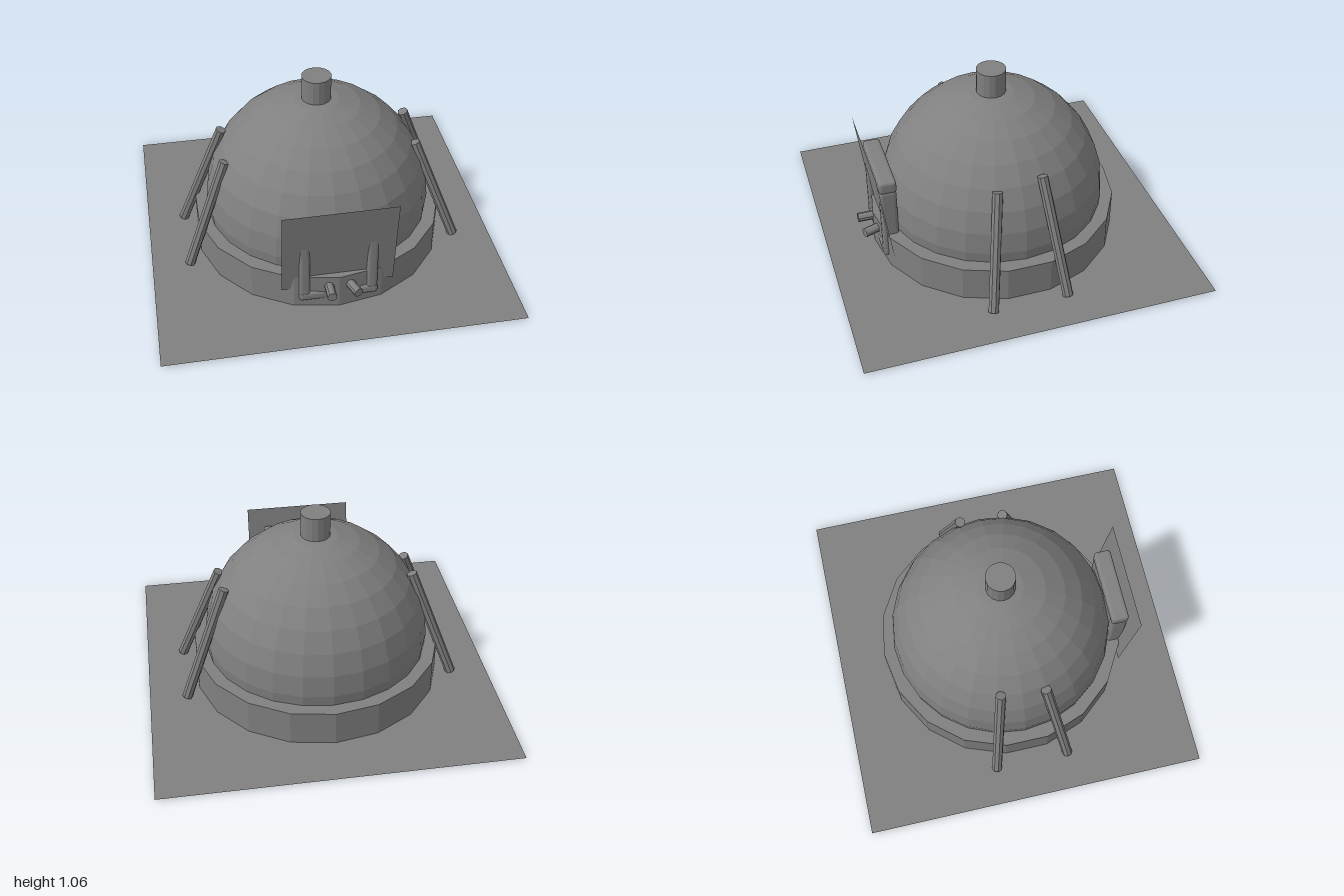
import * as THREE from 'three';
import { RoundedBoxGeometry } from 'three/addons/geometries/RoundedBoxGeometry.js';

const grey = new THREE.MeshStandardMaterial({ color: 0x808080, flatShading: true });
const sheetGrey = grey.clone();
grey.name = 'grey';
sheetGrey.name = 'sheet grey';
sheetGrey.side = THREE.DoubleSide;

export function createModel() {
  const model = new THREE.Group();
  model.name = 'domeHut';

  const add = (name, geometry, x, y, z, material = grey) => {
    const mesh = new THREE.Mesh(geometry, material);
    mesh.name = name;
    mesh.position.set(x, y, z);
    model.add(mesh);
    return mesh;
  };

  // Cylinder between two points
  const rod = (name, a, b, radius, sides) => {
    const from = new THREE.Vector3(...a), to = new THREE.Vector3(...b);
    const dir = to.clone().sub(from);
    const mesh = add(name, new THREE.CylinderGeometry(radius, radius, dir.length(), sides), 0, 0, 0);
    mesh.position.copy(from).add(to).multiplyScalar(0.5);
    mesh.quaternion.setFromUnitVectors(new THREE.Vector3(0, 1, 0), dir.normalize());
  };

  // Ground sheet
  add('ground', new THREE.PlaneGeometry(2, 2).rotateX(-Math.PI / 2), 0, 0.006, 0, sheetGrey);

  // Base drum, dome and chimney
  add('base', new THREE.CylinderGeometry(0.72, 0.72, 0.212, 18), 0, 0.106, 0);
  add('dome', new THREE.SphereGeometry(0.65, 24, 10, 0, Math.PI * 2, 0, Math.PI * 10 / 16), 0, 0.277, 0);
  add('chimney', new THREE.CylinderGeometry(0.084, 0.084, 0.18, 16), 0, 0.97, 0);

  // Leaning poles on both sides
  for (const side of [-1, 1]) {
    rod('frontPole', [side * 0.785, 0.011, 0.233], [side * 0.545, 0.637, 0.135], 0.03, 8);
    rod('backPole', [side * 0.785, 0.011, -0.2], [side * 0.535, 0.68, -0.12], 0.03, 8);
  }

  // Door frame of rounded bars around a recessed panel
  const bar = (name, w, h, d, x, y) =>
    add(name, new RoundedBoxGeometry(w, h, d, 2, 0.018), x, y, 0.66);
  bar('frameTop', 0.44, 0.076, 0.1, 0, 0.538);
  bar('frameSill', 0.44, 0.056, 0.1, 0, 0.085);
  for (const side of [-1, 1]) bar('framePost', 0.06, 0.44, 0.095, side * 0.188, 0.29);
  add('doorPanel', new THREE.BoxGeometry(0.34, 0.42, 0.05), 0, 0.29, 0.64);

  // Forward-leaning sheet over the door
  const sheet = add('doorSheet', new THREE.PlaneGeometry(0.625, Math.hypot(0.56, 0.075)), 0, 0.4, 0.703, sheetGrey);
  sheet.rotation.x = Math.atan2(0.075, 0.56);

  // Short pegs in front of the door
  rod('straightPeg', [-0.055, 0.15, 0.66], [-0.055, 0.15, 0.8], 0.027, 10);
  rod('angledPeg', [0.05, 0.15, 0.67], [0.093, 0.15, 0.79], 0.027, 10);

  return model;
}
